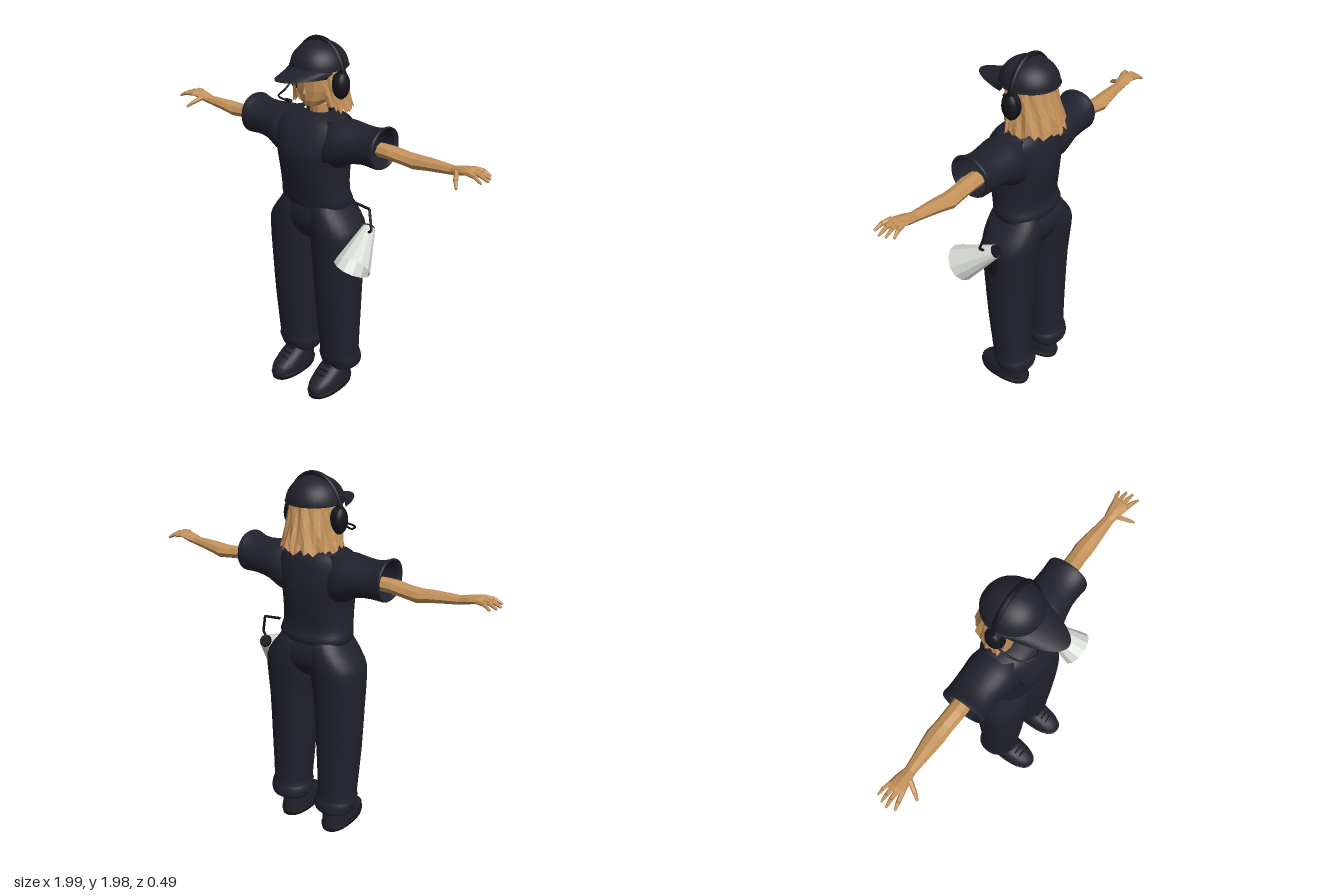
import * as THREE from 'three';

const V = (x, y, z) => new THREE.Vector3(x, y, z);

// Grid of points f(i, j), wrapped around j when closed; skip(i, j) leaves holes
function grid(rows, cols, f, closed = true, skip = () => false) {
  const pos = [], idx = [], w = closed ? cols : cols + 1;
  for (let i = 0; i <= rows; i++) for (let j = 0; j < w; j++) pos.push(...f(i, j).toArray());
  for (let i = 0; i < rows; i++) for (let j = 0; j < cols; j++) {
    if (skip(i, j)) continue;
    const a = i * w + j, b = i * w + (j + 1) % w, c = b + w, d = a + w;
    idx.push(a, d, b, b, d, c);
  }
  const g = new THREE.BufferGeometry();
  g.setAttribute('position', new THREE.Float32BufferAttribute(pos, 3));
  g.setIndex(idx);
  g.computeVertexNormals();
  return g;
}

// Loft of rounded sections [t, centreU, centreV, radiusU, radiusV] along x (u=z, v=y) or y (u=x, v=z)
function loft(axis, sections, n, { p = 2, smooth = 1, caps = false, skip } = {}) {
  let s = sections;
  if (smooth > 1) {
    s = [];
    for (let i = 0; i < sections.length - 1; i++) for (let k = 0; k < smooth; k++) {
      const t = k / smooth, e = [sections[Math.max(i - 1, 0)], sections[i], sections[i + 1], sections[Math.min(i + 2, sections.length - 1)]];
      s.push(sections[i].map((_, c) => {
        const [a, b, d, f] = e.map(q => q[c]);
        return b + 0.5 * t * (d - a + t * (2 * a - 5 * b + 4 * d - f + t * (3 * (b - d) + f - a)));
      }));
    }
    s.push(sections[sections.length - 1]);
  }
  if (caps) {
    const end = q => [q[0], q[1], q[2], 0.0001, 0.0001];
    s = [end(s[0]), ...s, end(s[s.length - 1])];
  }
  const pw = q => Math.sign(q) * Math.abs(q) ** (2 / p);
  return grid(s.length - 1, n, (i, j) => {
    const a = j / n * Math.PI * 2, [t, cu, cv, ru, rv] = s[i];
    const u = cu + ru * pw(Math.cos(a)), v = cv + rv * pw(Math.sin(a));
    return axis === 'x' ? V(t, v, u) : V(u, t, v);
  }, true, skip && ((i, j) => skip(s[i][0], (j + 0.5) / n * Math.PI * 2)));
}

export function createModel() {
  const root = new THREE.Group();
  root.name = 'figure';
  const mat = (name, color, flat) => {
    const m = new THREE.MeshStandardMaterial({ color, side: THREE.DoubleSide, flatShading: !!flat });
    m.name = name;
    return m;
  };
  const navy = mat('navy cloth', 0x21212d);
  const black = mat('black plastic', 0x14141b);
  const tan = mat('tan skin and hair', 0xc4925a, true);
  const pale = mat('pale grey', 0xd8dcd6, true);

  const add = (parent, name, geo, m, at = [0, 0, 0]) => {
    const mesh = new THREE.Mesh(geo, m);
    mesh.name = name;
    mesh.position.set(...at);
    parent.add(mesh);
    return mesh;
  };
  // Tapered bar between two points
  const bar = (parent, name, a, b, ra, rb, m, n = 6, open = false) => {
    const mesh = add(parent, name, new THREE.CylinderGeometry(rb, ra, a.distanceTo(b), n, 1, open), m);
    mesh.position.copy(a).lerp(b, 0.5);
    mesh.quaternion.setFromUnitVectors(V(0, 1, 0), b.clone().sub(a).normalize());
    return mesh;
  };

  // Hips joining the two trouser legs
  add(root, 'hips', loft('y', [
    [0.93, 0, -0.045, 0.16, 0.09], [0.97, 0, -0.045, 0.25, 0.12], [1.02, 0, -0.047, 0.262, 0.142],
    [1.07, 0, -0.045, 0.228, 0.145], [1.11, 0, -0.043, 0.195, 0.14], [1.15, 0, -0.04, 0.18, 0.125],
  ], 36, { p: 2.2, smooth: 2 }), navy);

  // Shirt body, with openings at the sides for the hollow sleeves
  add(root, 'shirtBody', loft('y', [
    [1.12, 0, -0.04, 0.17, 0.11], [1.115, 0, -0.04, 0.188, 0.13], [1.15, 0, -0.042, 0.2, 0.142],
    [1.2, 0, -0.028, 0.19, 0.138], [1.3, 0, -0.022, 0.184, 0.158], [1.4, 0, -0.018, 0.19, 0.172],
    [1.46, 0, -0.02, 0.2, 0.168], [1.53, 0, -0.028, 0.21, 0.15], [1.58, 0, -0.035, 0.2, 0.125],
    [1.605, 0, -0.04, 0.15, 0.095], [1.615, 0, -0.045, 0.075, 0.06],
  ], 40, { p: 2.3, smooth: 2, skip: (y, a) => y > 1.39 && y < 1.595 && Math.abs(Math.cos(a)) > 0.74 }), navy);

  for (const side of [1, -1]) {
    const half = new THREE.Group();
    half.name = side > 0 ? 'leftLimbs' : 'rightLimbs';
    half.scale.x = side;
    root.add(half);

    // Wide trouser leg with a gathered cuff
    add(half, 'trouserLeg', loft('y', [
      [0.16, 0.147, -0.08, 0.08, 0.08], [0.137, 0.147, -0.082, 0.105, 0.1], [0.17, 0.148, -0.077, 0.115, 0.108],
      [0.205, 0.15, -0.065, 0.113, 0.11], [0.24, 0.15, -0.06, 0.105, 0.106], [0.5, 0.149, -0.047, 0.12, 0.118],
      [0.75, 0.146, -0.042, 0.13, 0.132], [0.94, 0.143, -0.046, 0.141, 0.146], [1.02, 0.13, -0.047, 0.137, 0.15],
      [1.1, 0.1, -0.045, 0.106, 0.142], [1.14, 0.09, -0.042, 0.09, 0.125],
    ], 28, { p: 2.25, smooth: 2 }), navy);

    // Shoe, sole and laces
    add(half, 'shoe', loft('y', [
      [0.02, 0.138, 0.008, 0.074, 0.158], [0.06, 0.138, 0.008, 0.076, 0.156], [0.095, 0.138, -0.01, 0.074, 0.133],
      [0.125, 0.137, -0.035, 0.07, 0.105], [0.15, 0.136, -0.055, 0.064, 0.085], [0.2, 0.136, -0.065, 0.06, 0.07],
    ], 24, { p: 2.3, smooth: 2 }), navy);
    add(half, 'sole', loft('y', [[0, 0.138, 0.008, 0.074, 0.158], [0.03, 0.138, 0.008, 0.079, 0.164]],
      24, { p: 2.3, caps: true }), black);
    for (let k = 0; k < 3; k++) {
      const lace = add(half, 'lace', new THREE.CapsuleGeometry(0.005, 0.05, 2, 6), black, [0.137, 0.147 - k * 0.017, 0.03 + k * 0.03]);
      lace.rotation.z = Math.PI / 2 + (k - 1) * 0.2;
    }

    // Short open sleeve with a turned-in hem
    add(half, 'sleeve', loft('x', [
      [0.13, -0.03, 1.46, 0.12, 0.135], [0.19, -0.033, 1.476, 0.13, 0.124], [0.25, -0.037, 1.49, 0.12, 0.104],
      [0.32, -0.04, 1.495, 0.112, 0.093], [0.38, -0.038, 1.499, 0.112, 0.096], [0.42, -0.036, 1.506, 0.114, 0.106],
      [0.43, -0.037, 1.506, 0.106, 0.1], [0.415, -0.038, 1.505, 0.09, 0.092],
    ], 28, { p: 2.15, smooth: 2 }), navy);

    // Arm running into the palm
    add(half, 'arm', loft('x', [
      [0.39, -0.052, 1.488, 0.045, 0.036], [0.46, -0.053, 1.488, 0.047, 0.035], [0.54, -0.057, 1.479, 0.045, 0.034],
      [0.6, -0.06, 1.475, 0.049, 0.036], [0.66, -0.056, 1.483, 0.043, 0.032], [0.74, -0.051, 1.489, 0.034, 0.027],
      [0.8, -0.048, 1.493, 0.028, 0.023], [0.85, -0.046, 1.506, 0.039, 0.022], [0.9, -0.043, 1.518, 0.047, 0.016],
      [0.92, -0.043, 1.516, 0.042, 0.01],
    ], 8, { caps: true }), tan);

    // Four fingers and a thumb: [knuckle, joint, tip]
    const fingers = [-0.078, -0.055, -0.032, -0.009].map((z, k) => {
      const len = [0.072, 0.09, 0.098, 0.085][k], fan = [-0.018, -0.008, 0.002, 0.02][k];
      return [V(0.895, 1.517, z), V(0.897 + len * 0.55, 1.514, z + fan * 0.6), V(0.897 + len, 1.494, z + fan)];
    });
    fingers.push([V(0.835, 1.503, -0.02), V(0.865, 1.478, 0.03), V(0.885, 1.457, 0.056)]);
    for (const [a, b, c] of fingers) {
      bar(half, 'fingerBase', a, b, 0.013, 0.011, tan);
      bar(half, 'fingerTip', b, c, 0.011, 0.006, tan);
    }

    // Headset ear cup
    const pad = add(half, 'earPad', new THREE.CylinderGeometry(0.05, 0.05, 0.035, 20), black, [0.132, 1.76, -0.052]);
    pad.rotation.z = Math.PI / 2;
    pad.scale.x = 1.4;
    add(half, 'earCup', new THREE.SphereGeometry(1, 20, 12), black, [0.148, 1.76, -0.052]).scale.set(0.032, 0.066, 0.046);
  }

  // Head and neck
  add(root, 'head', loft('y', [
    [1.57, 0, -0.055, 0.045, 0.045], [1.645, 0, -0.05, 0.046, 0.048], [1.65, 0, -0.02, 0.04, 0.062],
    [1.68, 0, -0.03, 0.066, 0.085], [1.73, 0, -0.045, 0.086, 0.105], [1.8, 0, -0.05, 0.098, 0.112],
    [1.86, 0, -0.05, 0.1, 0.112],
  ], 12, { p: 2.4 }), tan);
  add(root, 'nose', new THREE.ConeGeometry(0.011, 0.035, 4), tan, [0, 1.735, 0.06]);

  // Hair: two layers of jagged locks around the back and sides
  const locks = 40;
  [1, 0.85].forEach((size, layer) => add(root, 'hair', grid(5, locks, (i, j) => {
    const s = j / locks * 2 - 1, a = -Math.PI / 2 + s * 2.42, t = i / 5;
    const back = Math.max(0, -Math.sin(a)), jag = [0, 0.022, 0.008, 0.032, 0.014][(j + layer * 2) % 5];
    const low = 1.605 + jag + 0.05 * Math.abs(s) ** 5 + layer * 0.012;
    const flare = 1 + 0.05 * (j % 2) * t + 0.03 * Math.sin(j * 1.7 + i);
    const rx = (0.122 + 0.034 * t ** 1.5) * flare * size;
    const rz = (0.125 + (back > 0 ? 0.06 : -0.05) * t) * flare * size;
    return V(rx * Math.cos(a), 1.86 + (low - 1.86) * t, -0.05 + rz * Math.sin(a));
  }, false), tan));

  // Cap: dome, rim, button and curved brim
  const cap = new THREE.Group();
  cap.name = 'cap';
  root.add(cap);
  add(cap, 'capDome', new THREE.SphereGeometry(1, 32, 12, 0, Math.PI * 2, 0, Math.PI / 2), navy, [0, 1.838, -0.052])
    .scale.set(0.143, 0.124, 0.15);
  const rim = add(cap, 'capRim', new THREE.TorusGeometry(0.142, 0.005, 6, 36), navy, [0, 1.84, -0.052]);
  rim.rotation.x = Math.PI / 2;
  rim.scale.y = 1.05;
  add(cap, 'capButton', new THREE.SphereGeometry(0.012, 10, 6), navy, [0, 1.962, -0.052]);
  [0, 0.006].forEach(drop => add(cap, 'brim', grid(5, 20, (i, j) => {
    const s = j / 10 - 1, t = i / 5;
    const z0 = -0.052 + 0.145 * Math.sqrt(1 - 0.85 * s * s);
    return V(0.135 * s * (1 - 0.12 * t), 1.848 - drop - 0.027 * t - 0.012 * s * s, z0 + 0.155 * t * (1 - Math.abs(s) ** 2.2 * 0.8));
  }, false), navy));

  // Headset band and microphone
  const band = add(root, 'headband', new THREE.TorusGeometry(0.155, 0.01, 8, 36, Math.PI), black, [0, 1.78, -0.055]);
  band.scale.set(1, 1.23, 1.35);
  const boom = new THREE.CatmullRomCurve3([V(-0.16, 1.735, -0.03), V(-0.155, 1.7, 0.03), V(-0.135, 1.69, 0.1), V(-0.09, 1.69, 0.128), V(-0.04, 1.69, 0.13)]);
  add(root, 'microphoneBoom', new THREE.TubeGeometry(boom, 20, 0.005, 6), black);
  add(root, 'microphone', new THREE.CapsuleGeometry(0.01, 0.022, 4, 8), black, [-0.042, 1.69, 0.13]).rotation.z = Math.PI / 2;

  // Loudhailer hanging at the left hip
  const horn = new THREE.Group();
  horn.name = 'loudhailer';
  root.add(horn);
  const tail = V(0.31, 1.025, -0.085), mouth = V(0.355, 0.888, 0.108);
  bar(horn, 'hornCone', tail, mouth, 0.035, 0.098, pale, 12, true);
  bar(horn, 'hornBack', tail.clone().lerp(mouth, -0.04), tail.clone().lerp(mouth, 0.03), 0.03, 0.034, black, 12);
  bar(horn, 'hornCore', tail, tail.clone().lerp(mouth, 0.35), 0.02, 0.012, black, 8);
  add(horn, 'handle', new THREE.BoxGeometry(0.035, 0.15, 0.04), black, [0.285, 0.925, -0.05]);
  const strap = [V(0.235, 1.163, -0.05), V(0.335, 1.153, -0.052), V(0.368, 1.05, -0.03), V(0.335, 1.02, -0.04)];
  for (let k = 0; k < 3; k++) bar(horn, 'strap', strap[k], strap[k + 1], 0.007, 0.007, black);

  return root;
}
